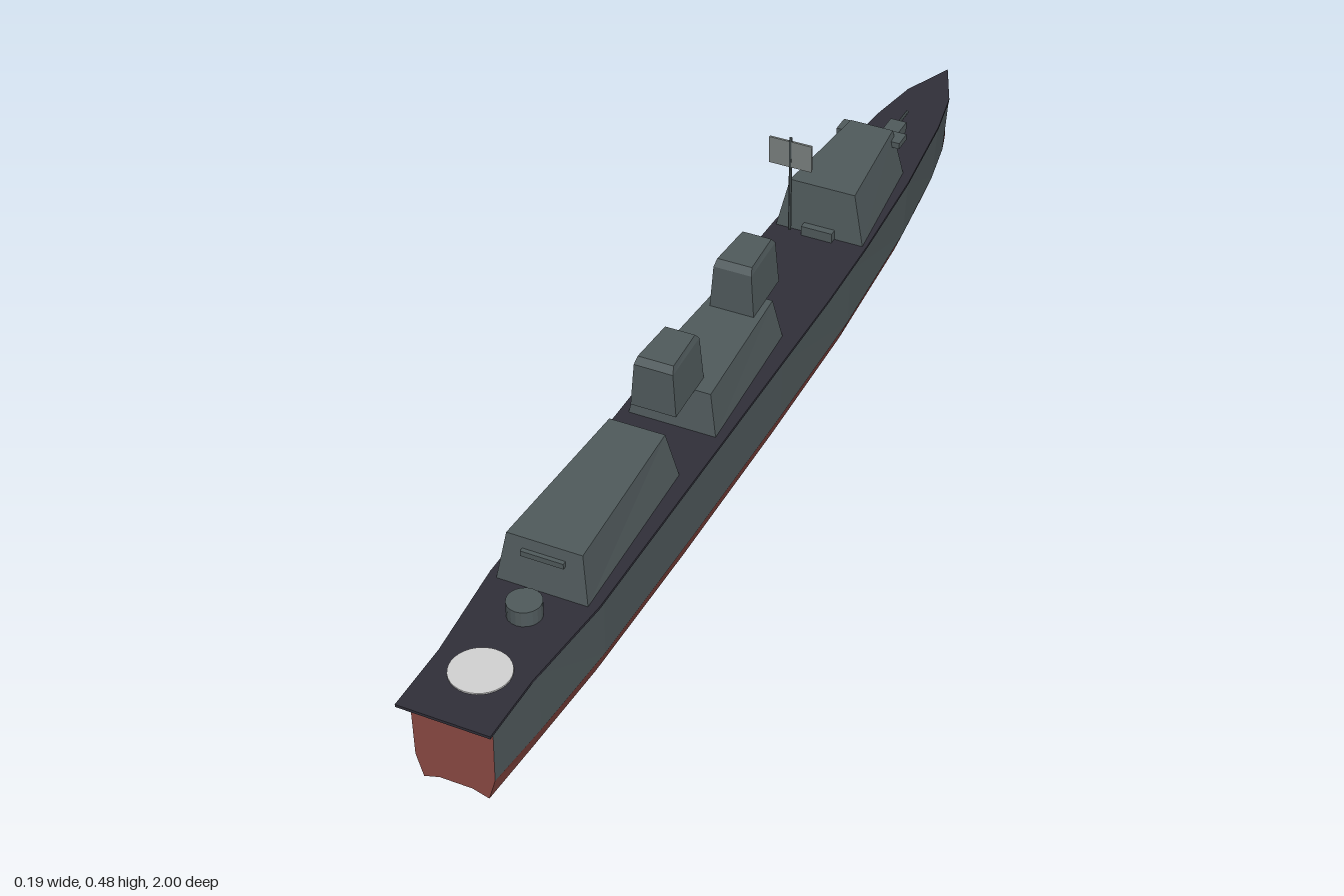
import * as THREE from 'three';

const mat = (name, color, side = THREE.FrontSide) =>
  new THREE.MeshStandardMaterial({ name, color, side, flatShading: true });

// Skin a list of equal-length point rings; closed joins each ring's last point to its first
function loft(rings, closed = false, capEnd = false) {
  const pos = [];
  const tri = (a, b, c) => pos.push(...a, ...b, ...c);
  for (let i = 0; i < rings.length - 1; i++) {
    const r = rings[i], s = rings[i + 1], n = r.length;
    for (let j = 0; j < (closed ? n : n - 1); j++) {
      const k = (j + 1) % n;
      tri(r[j], r[k], s[k]);
      tri(r[j], s[k], s[j]);
    }
  }
  const e = rings[rings.length - 1];
  if (capEnd) for (let j = 1; j < e.length - 1; j++) tri(e[0], e[j], e[j + 1]);
  const g = new THREE.BufferGeometry();
  g.setAttribute('position', new THREE.Float32BufferAttribute(pos, 3));
  g.computeVertexNormals();
  return g;
}

export function createModel() {
  const model = new THREE.Group();
  model.name = 'warship';
  const grey = mat('hull grey', 0x505a5c, THREE.DoubleSide);
  const red = mat('antifouling red', 0x8c4a44, THREE.DoubleSide);
  const dark = mat('deck dark', 0x302f39);
  const white = mat('pad white', 0xd2d2d2);
  const pale = mat('radar grey', 0x7b817f);

  const add = (name, geo, material, x = 0, y = 0, z = 0) => {
    const m = new THREE.Mesh(geo, material);
    m.name = name;
    m.position.set(x, y, z);
    model.add(m);
    return m;
  };
  const box = (name, w, h, d, x, y, z, material = grey) =>
    add(name, new THREE.BoxGeometry(w, h, d), material, x, y, z);

  // Hull stations, stern to bow: z, half widths at deck, waterline, chine, keel; keel and chine heights
  const stations = [
    [0.975, 0.070, 0.068, 0.056, 0.028, 0.043, 0.034],
    [0.85, 0.081, 0.079, 0.064, 0.032, 0.033, 0.035],
    [0.66, 0.093, 0.090, 0.074, 0.036, 0.020, 0.035],
    [0.35, 0.095, 0.093, 0.078, 0.037, 0.006, 0.035],
    [0.0, 0.095, 0.093, 0.078, 0.037, 0.000, 0.035],
    [-0.3, 0.093, 0.090, 0.074, 0.034, 0.004, 0.035],
    [-0.6, 0.080, 0.074, 0.058, 0.026, 0.014, 0.035],
    [-0.8, 0.060, 0.052, 0.038, 0.016, 0.024, 0.036],
    [-0.9, 0.042, 0.034, 0.022, 0.009, 0.030, 0.037],
    [-1.0, 0.001, 0.001, 0.001, 0.001, 0.036, 0.038],
  ];
  const TOP = 0.19, WATER = 0.076;
  const section = ([z, t, w, c, k, ky, cy]) => {
    const half = [[t, TOP, z], [w, WATER, z], [c, cy, z], [k, ky, z]];
    return [...half, ...half.map(([x, y]) => [-x, y, z]).reverse()];
  };
  const rings = stations.map(section);
  add('hullSideLeft', loft(rings.map(r => r.slice(0, 2))), grey);
  add('hullSideRight', loft(rings.map(r => r.slice(6, 8))), grey);
  add('hullBottom', loft(rings.map(r => r.slice(1, 7))), red);
  const transom = new THREE.Shape(rings[0].map(p => new THREE.Vector2(p[0], p[1])));
  add('transom', new THREE.ShapeGeometry(transom), red, 0, 0, 0.975);

  // Deck plate, overhanging the stern
  const edge = [[1, 0.08], [0.87, 0.08], [0.68, 0.096], [-0.2, 0.096], [-0.38, 0.092],
    [-0.6, 0.081], [-0.8, 0.061], [-0.9, 0.043]];
  const outline = [...edge.map(([z, x]) => new THREE.Vector2(x, -z)), new THREE.Vector2(0, 1),
    ...edge.map(([z, x]) => new THREE.Vector2(-x, -z)).reverse()];
  const deck = new THREE.ExtrudeGeometry(new THREE.Shape(outline), { depth: 0.005, bevelEnabled: false });
  deck.rotateX(-Math.PI / 2);
  add('deck', deck, dark, 0, 0.189, 0);

  // Tapered open-bottomed blocks; each level: y, aft z, aft half width, bow z, bow half width
  const block = (name, levels) => add(name, loft(levels.map(([y, za, wa, zb, wb]) =>
    [[wa, y, za], [wb, y, zb], [-wb, y, zb], [-wa, y, za]]), true, true), grey);
  block('aftHouse', [[0.193, 0.69, 0.08, 0.345, 0.068], [0.28, 0.675, 0.066, 0.358, 0.05]]);
  block('middleHouse', [[0.193, 0.233, 0.08, -0.068, 0.065], [0.271, 0.222, 0.066, -0.058, 0.05]]);
  block('bridge', [[0.193, -0.372, 0.085, -0.625, 0.06], [0.291, -0.383, 0.063, -0.61, 0.042]]);
  for (const [name, z] of [['aftFunnel', 0.3], ['forwardFunnel', 0.0]])
    block(name, [[0.271, z, 0.041, z - 0.115, 0.036], [0.352, z - 0.003, 0.035, z - 0.112, 0.03],
      [0.364, z - 0.012, 0.032, z - 0.102, 0.027]]);

  // Ledges and a deck locker on the houses
  box('bridgeWing', 0.125, 0.012, 0.035, 0, 0.272, -0.61);
  box('aftLedge', 0.075, 0.01, 0.012, 0, 0.256, 0.68);
  box('deckLocker', 0.06, 0.02, 0.014, 0, 0.203, -0.366);

  // Mast with radar panel
  add('mast', new THREE.CylinderGeometry(0.003, 0.003, 0.19, 8), grey, 0, 0.385, -0.24);
  box('radarPanel', 0.08, 0.052, 0.004, 0, 0.447, -0.24, pale);

  // Aft round mount and bow gun
  add('aftMount', new THREE.CylinderGeometry(0.029, 0.029, 0.028, 20), grey, 0, 0.208, 0.745);
  add('gunBase', new THREE.CylinderGeometry(0.013, 0.015, 0.012, 12), grey, 0, 0.199, -0.725);
  box('gunHouse', 0.032, 0.02, 0.042, 0, 0.213, -0.725);
  const barrel = new THREE.CylinderGeometry(0.003, 0.003, 0.05, 8).rotateX(Math.PI / 2);
  add('gunBarrel', barrel, grey, 0, 0.217, -0.764);

  // Landing circle on the stern deck
  add('landingCircle', new THREE.CylinderGeometry(0.05, 0.05, 0.004, 32), white, 0, 0.1945, 0.885);
  return model;
}
